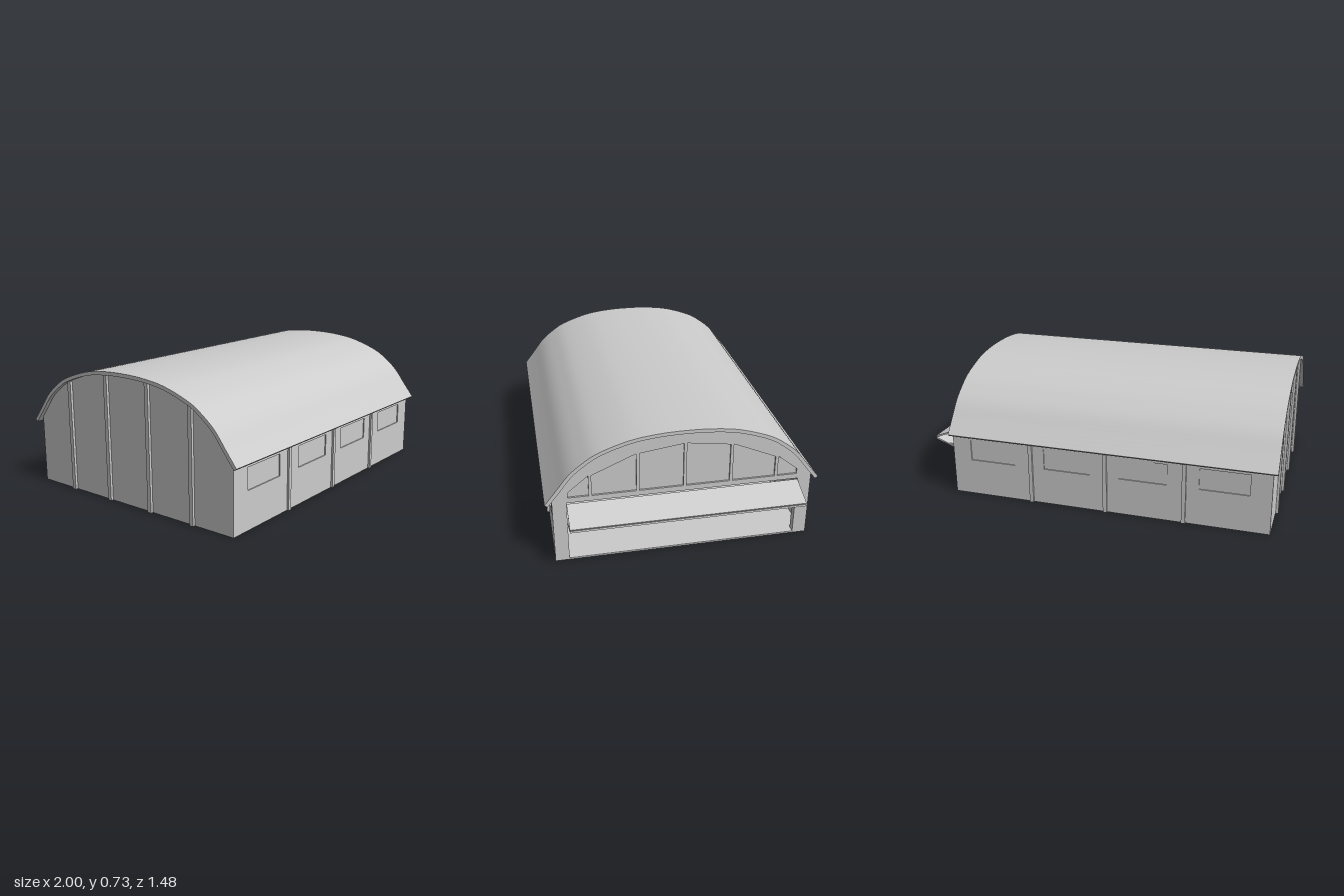
import * as THREE from 'three';
import { toCreasedNormals } from 'three/addons/utils/BufferGeometryUtils.js';

const material = new THREE.MeshStandardMaterial({ color: 0xcccccc, side: THREE.DoubleSide });
const BACK = -0.975, FRONT = 0.845, WALL = 0.7;

// Roof arch, as [distance from centre, height], mirrored into a full span
const half = [[0.738, 0.365], [0.675, 0.445], [0.61, 0.528], [0.54, 0.588], [0.452, 0.643], [0.294, 0.697], [0.15, 0.719]];
const arch = new THREE.SplineCurve([
  ...half.map(([s, y]) => new THREE.Vector2(-s, y)),
  new THREE.Vector2(0, 0.725),
  ...half.slice().reverse().map(([s, y]) => new THREE.Vector2(s, y)),
]);

// Arch points moved inwards by d, optionally limited to a half width
function archPoints(d, limit = 9) {
  const points = [];
  for (let i = 0; i <= 64; i++) {
    const t = arch.getTangent(i / 64);
    const p = arch.getPoint(i / 64);
    p.x += t.y * d;
    p.y -= t.x * d;
    if (Math.abs(p.x) < limit) points.push(p);
  }
  return points;
}

// Arch cut off at a half width, with straight legs down to the ground
function archWithLegs(d, w) {
  const points = archPoints(d, w);
  const y = points[0].y - 0.01;
  const v = (a, b) => new THREE.Vector2(a, b);
  return [v(-w, 0), v(-w, y), ...points, v(w, y), v(w, 0)];
}

const polygon = (list) => new THREE.Path(list.map(([a, b]) => new THREE.Vector2(a, b)));
const rectangle = (a0, a1, y0, y1) => polygon([[a0, y0], [a1, y0], [a1, y1], [a0, y1]]);

export function createModel() {
  const group = new THREE.Group();

  function add(name, geometry) {
    const mesh = new THREE.Mesh(geometry, material);
    mesh.name = name;
    group.add(mesh);
    return mesh;
  }
  function box(name, x0, x1, y0, y1, z0, z1) {
    const g = new THREE.BoxGeometry(x1 - x0, y1 - y0, z1 - z0);
    g.translate((x0 + x1) / 2, (y0 + y1) / 2, (z0 + z1) / 2);
    return add(name, g);
  }
  // Cross-section in the z-y plane extruded along x
  function acrossX(name, shape, x0, x1) {
    const g = new THREE.ExtrudeGeometry(shape, { depth: x1 - x0, bevelEnabled: false });
    g.rotateY(Math.PI / 2);
    g.translate(x0, 0, 0);
    return add(name, toCreasedNormals(g, 0.5));
  }
  // Flat bar between two points of the x-y plane
  function bar(name, [xa, ya], [xb, yb], thickness, width, z = 0) {
    const mesh = add(name, new THREE.BoxGeometry(Math.hypot(xb - xa, yb - ya), thickness, width));
    mesh.position.set((xa + xb) / 2, (ya + yb) / 2, z);
    mesh.rotation.z = Math.atan2(yb - ya, xb - xa);
  }

  // Roof shell and floor slab
  acrossX('roof', new THREE.Shape([...archPoints(0), ...archPoints(0.02).reverse()]), -1, 0.855);
  box('floor', BACK, FRONT, 0, 0.01, -WALL, WALL);

  // Back gable with outer and inner posts
  acrossX('backWall', new THREE.Shape(archWithLegs(0.015, WALL)), BACK, BACK + 0.02);
  for (const [s, top] of [[-0.44, 0.625], [-0.15, 0.698], [0.15, 0.698], [0.44, 0.625]])
    box('backPost', BACK - 0.015, BACK, 0, top, s - 0.012, s + 0.012);
  for (const [s, top] of [[-0.33, 0.66], [0, 0.7], [0.33, 0.66]])
    box('innerBackPost', BACK + 0.02, BACK + 0.035, 0.01, top, s - 0.007, s + 0.007);

  // Front gable with door opening and a row of arched windows
  const front = new THREE.Shape(archWithLegs(0.015, WALL));
  front.holes.push(rectangle(-0.625, 0.625, 0.01, 0.36));
  const tops = [[0, 0.645], [0.25, 0.612], [0.5, 0.51], [0.625, 0.42]];
  for (const side of [-1, 1])
    for (let i = 0; i < 3; i++) {
      const [a, ya] = tops[i], [b, yb] = tops[i + 1];
      const s0 = side * (a + 0.008), s1 = side * (b - 0.008);
      front.holes.push(polygon([[s0, 0.39], [s1, 0.39], [s1, yb], [s0, ya]]));
    }
  acrossX('frontWall', front, FRONT - 0.025, FRONT);
  const glass = [[-0.635, 0.38], [0.635, 0.38], ...tops.slice().reverse(), ...tops.slice(1).map(([s, y]) => [-s, y])];
  acrossX('gableGlass', new THREE.Shape(glass.map(([s, y]) => new THREE.Vector2(s, y))), FRONT - 0.018, FRONT - 0.01);

  // Side walls with windows and posts
  const windows = [-0.725, -0.28, 0.155, 0.6];
  const posts = [-0.51, -0.068, 0.368];
  for (const side of [-1, 1]) {
    const shape = new THREE.Shape(rectangle(BACK, FRONT, 0, 0.382).getPoints());
    for (const x of windows) {
      shape.holes.push(rectangle(x - 0.135, x + 0.135, 0.21, 0.33));
      box('windowPane', x - 0.137, x + 0.137, 0.208, 0.332, side * 0.69 - 0.004, side * 0.69 + 0.004);
    }
    const g = new THREE.ExtrudeGeometry(shape, { depth: 0.02, bevelEnabled: false });
    g.translate(0, 0, side > 0 ? WALL - 0.02 : -WALL);
    add('sideWall', g);
    for (const x of posts)
      box('sidePost', x - 0.011, x + 0.011, 0, 0.378, side * 0.705 - 0.006, side * 0.705 + 0.006);
  }

  // Arched frames inside
  for (const x of posts) {
    const outline = [...archWithLegs(0.018, 0.685), ...archWithLegs(0.045, 0.655).reverse()];
    acrossX('archFrame', new THREE.Shape(outline), x - 0.011, x + 0.011);
  }

  // Folding door, half raised, with its side arms
  bar('upperDoorPanel', [0.845, 0.351], [0.998, 0.295], 0.009, 1.25);
  bar('lowerDoorPanel', [0.998, 0.285], [0.845, 0.229], 0.009, 1.25);
  for (const side of [-1, 1]) {
    bar('doorArm', [0.835, 0.235], [0.92, 0.26], 0.006, 0.01, side * 0.61);
    box('doorTrack', FRONT - 0.04, FRONT - 0.025, 0.01, 0.36, side * 0.635 - 0.01, side * 0.635 + 0.01);
  }
  return group;
}
